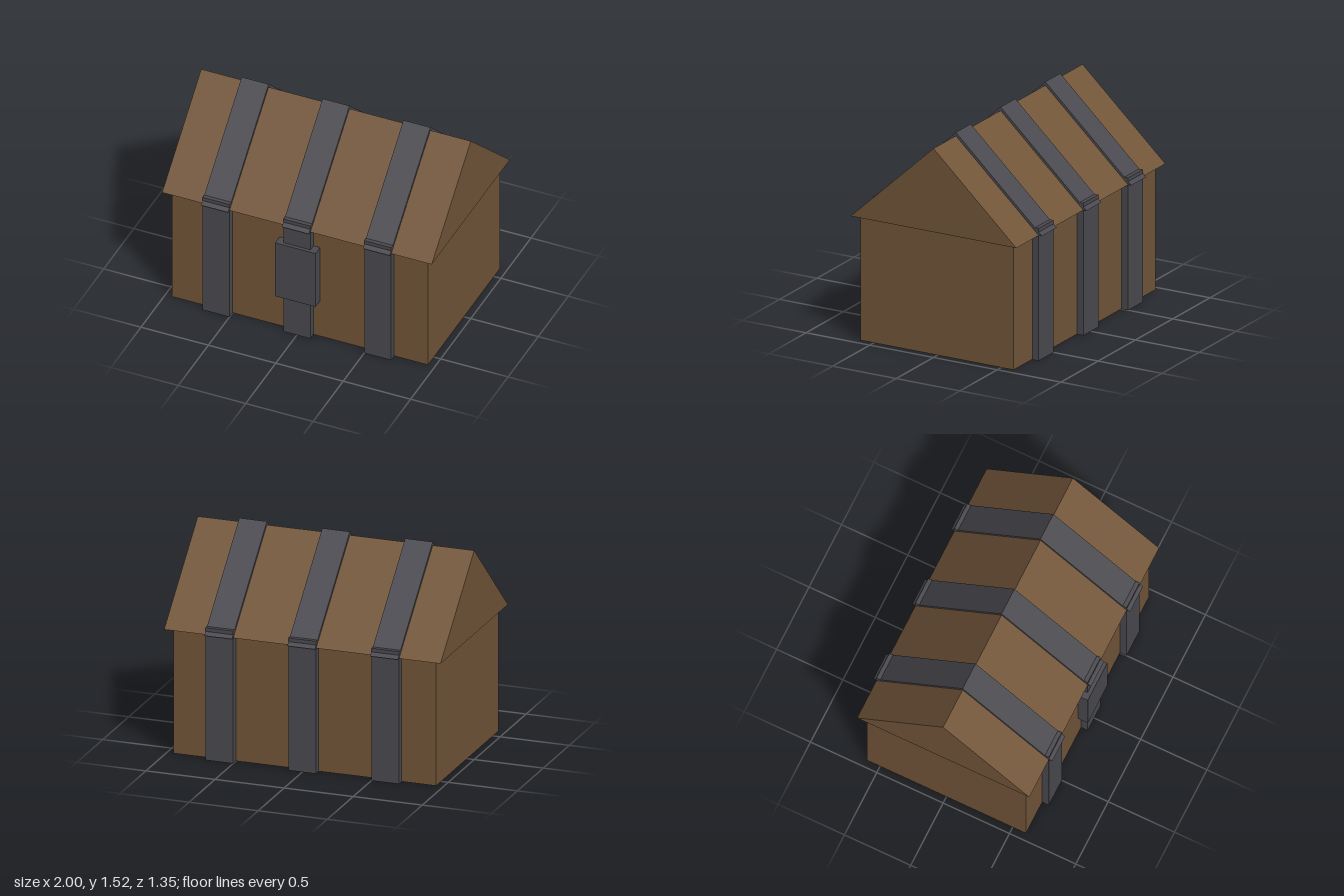
import * as THREE from 'three';

export function createModel() {
  const wood = new THREE.MeshStandardMaterial({ name: 'brown wood', color: 0x735639 });
  const iron = new THREE.MeshStandardMaterial({ name: 'dark iron', color: 0x4a4a50 });
  const chest = new THREE.Group();
  chest.name = 'chest';

  function add(name, geometry, material, x, y, z) {
    const mesh = new THREE.Mesh(geometry, material);
    mesh.name = name;
    mesh.position.set(x, y, z);
    chest.add(mesh);
  }

  // Box given by its size and the centre of its base
  function box(name, material, w, h, d, x, y, z) {
    add(name, new THREE.BoxGeometry(w, h, d), material, x, y + h / 2, z);
  }

  // Triangular prism with its ridge along x
  function gable(name, material, width, halfDepth, height, x, y) {
    const shape = new THREE.Shape([
      new THREE.Vector2(-halfDepth, 0),
      new THREE.Vector2(halfDepth, 0),
      new THREE.Vector2(0, height),
    ]);
    const geometry = new THREE.ExtrudeGeometry(shape, { depth: width, bevelEnabled: false });
    geometry.translate(0, 0, -width / 2).rotateY(Math.PI / 2);
    add(name, geometry, material, x, y, 0);
  }

  // Body and overhanging lid
  box('body', wood, 1.9, 0.898, 1.2, 0, 0.002, 0);
  gable('lid', wood, 2, 0.65, 0.6, 0, 0.9);

  // Iron bands: the outer two wrap under the body, the middle one stops at its edges
  for (const x of [-0.6, 0, 0.6]) {
    gable('lidBand', iron, 0.2, 0.675, 0.625, x, 0.9);
    if (x !== 0) {
      box('bodyBand', iron, 0.2, 0.95, 1.3, x, 0, 0);
    } else {
      for (const side of [-1, 1]) box('bodyBand', iron, 0.2, 0.95, 0.05, x, 0, side * 0.625);
    }
  }

  // Lock plate on the front
  box('lockPlate', iron, 0.3, 0.45, 0.075, 0, 0.3, 0.6375);

  return chest;
}
